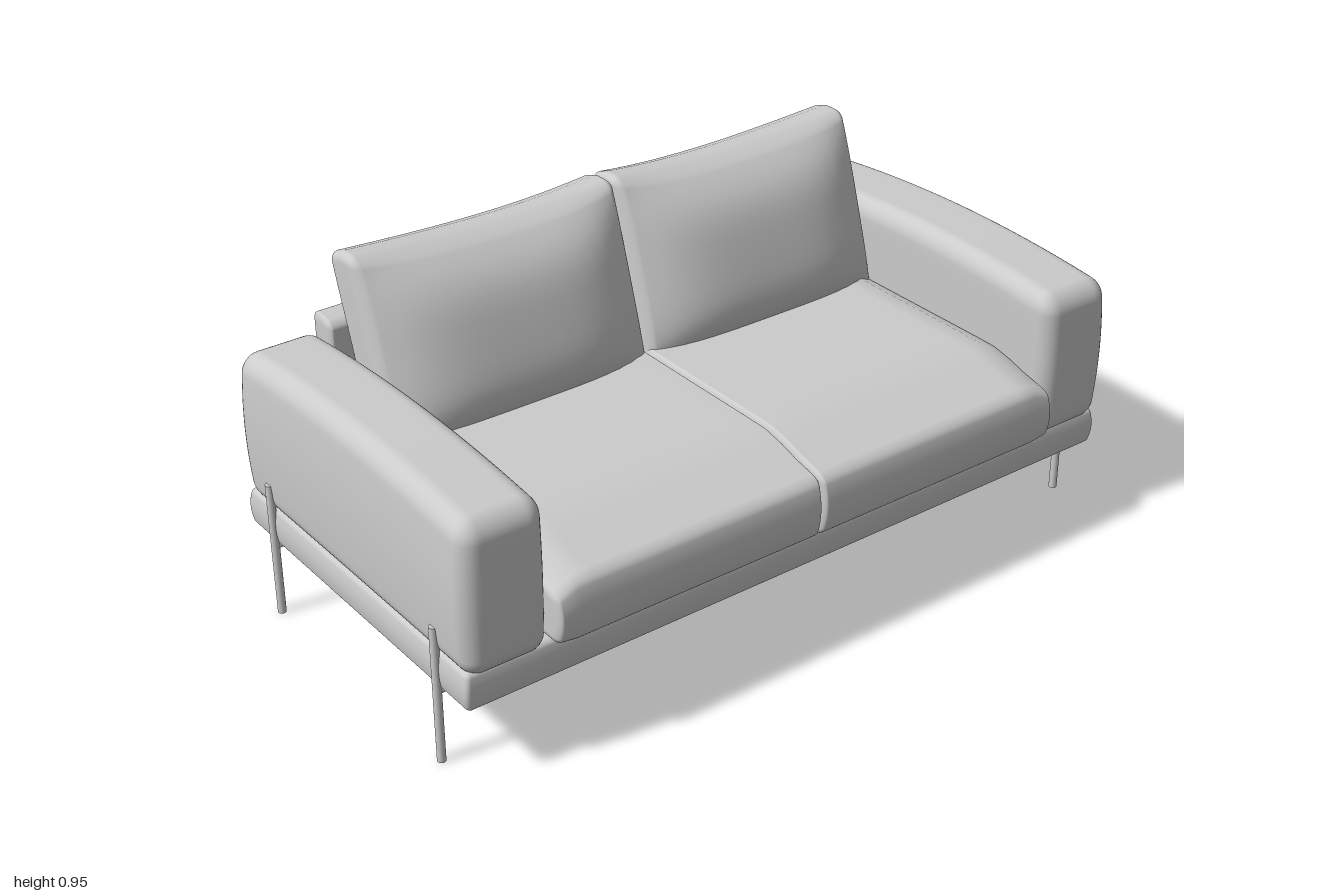
import * as THREE from 'three';
import { mergeVertices } from 'three/addons/utils/BufferGeometryUtils.js';

const material = new THREE.MeshStandardMaterial({ color: 0xcccccc, roughness: 0.8 });
const smooth = THREE.MathUtils.smoothstep;

// Subdivided box with rounded edges. min/max are corners, r the edge radius per axis;
// deform(p, u, v, w) then moves each point, u, v, w running from -1 to 1 across the box.
function softBox(name, min, max, r, deform) {
  const n = 24, k = 4;
  const geo = new THREE.BoxGeometry(2, 2, 2, n, n, n);
  geo.deleteAttribute('uv');
  geo.deleteAttribute('normal');
  const half = min.map((a, i) => (max[i] - a) / 2);
  const pos = geo.attributes.position;
  const p = new THREE.Vector3(), o = new THREE.Vector3();
  for (let i = 0; i < pos.count; i++) {
    for (let a = 0; a < 3; a++) {
      const c = pos.getComponent(i, a), inner = half[a] - r[a];
      const fromEnd = Math.round((1 - Math.abs(c)) / 2 * n);
      const inCorner = fromEnd < k;
      const s = Math.sign(c);
      o.setComponent(a, inCorner ? s * Math.tan((1 - fromEnd / k) * Math.PI / 4) : 0);
      p.setComponent(a, inCorner ? s * inner : c / (1 - 2 * k / n) * inner);
    }
    o.normalize();
    for (let a = 0; a < 3; a++) p.setComponent(a, p.getComponent(a) + o.getComponent(a) * r[a]);
    const [u, v, w] = half.map((h, a) => p.getComponent(a) / h);
    for (let a = 0; a < 3; a++) p.setComponent(a, p.getComponent(a) + (min[a] + max[a]) / 2);
    if (deform) deform(p, u, v, w);
    pos.setXYZ(i, p.x, p.y, p.z);
  }
  const merged = mergeVertices(geo, 1e-5);
  merged.computeVertexNormals();
  const mesh = new THREE.Mesh(merged, material);
  mesh.name = name;
  return mesh;
}

// Box spanning x0..x1 on one side of the sofa, mirrored by side s
function sideBox(name, s, x0, x1, y0, y1, z0, z1, r, deform) {
  const xs = [s * x0, s * x1].sort((a, b) => a - b);
  return softBox(name, [xs[0], y0, z0], [xs[1], y1, z1], r,
    (p, u, v, w) => deform(p, u * s, v, w));
}

function rod(name, radius, length, x, y, z) {
  const mesh = new THREE.Mesh(new THREE.CylinderGeometry(radius, radius, length, 20), material);
  mesh.name = name;
  mesh.position.set(x, y, z);
  return mesh;
}

export function createModel() {
  const sofa = new THREE.Group();
  sofa.name = 'sofa';

  // Upholstered plinth with slightly bulging sides
  sofa.add(softBox('base', [-0.98, 0.2, -0.522], [0.98, 0.305, 0.473], [0.012, 0.012, 0.012],
    (p, u, v, w) => {
      const b = 0.008 * (1 - v * v);
      p.x += b * u ** 5;
      p.z += b * w ** 5;
    }));

  // Backrest panel
  sofa.add(softBox('backrest', [-0.768, 0.29, -0.525], [0.768, 0.737, -0.437], [0.01, 0.022, 0.022],
    (p, u, v, w) => { if (w > 0) p.y -= 0.008 * smooth(v, 0.8, 1) * w; }));

  for (const s of [1, -1]) {
    const sideName = s > 0 ? 'left' : 'right';

    // Armrest with arched top and bowed faces
    sofa.add(sideBox(sideName + 'Armrest', s, 0.765, 0.982, 0.285, 0.69, -0.522, 0.49,
      [0.045, 0.05, 0.045], (p, u, v, w) => {
        const t = (v + 1) / 2;
        p.y += t * 0.03 * (1 - w * w);
        const bow = 0.012 * (1 - v * v);
        if (u > 0) p.x += s * bow * u;
        p.z += 0.7 * bow * w ** 5;
      }));

    // Seat cushion half: crowned top that falls to the front and outer edge
    sofa.add(sideBox(sideName + 'SeatCushion', s, 0.001, 0.768, 0.302, 0.52, -0.45, 0.515,
      [0.012, 0.03, 0.025], (p, u, v, w) => {
        const t = (v + 1) / 2;
        p.y -= t * (0.045 * smooth(w, 0.55, 1) + 0.025 * smooth(u, 0.85, 1));
        if (w > 0) p.z += 0.018 * (1 - v * v) * w ** 6;
        if (v < 0) p.y += 0.015 * smooth(u, 0.93, 1) * -v;
      }));

    // Leaning back cushion: plump front and rear, dipped top edge
    sofa.add(sideBox(sideName + 'BackCushion', s, 0.002, 0.764, 0.48, 0.953, -0.06, 0.06,
      [0.022, 0.025, 0.025], (p, u, v, w) => {
        const puff = Math.max(0, (1 - u ** 4) * (1 - v ** 4));
        p.z += (w > 0 ? 0.088 : 0.06) * w * puff;
        p.z += -0.235 - 0.31 * (p.y - 0.52);
        const t = smooth(v, -0.2, 1);
        p.y -= t * 0.018 * (1 - u * u) * (1 - 0.3 * u);
        p.y -= t * 0.022 * Math.max(0, -w);
      }));

    // Corner legs standing outside the base, each with a peg running underneath
    for (const [z, end] of [[0.355, 'Front'], [-0.4, 'Back']]) {
      sofa.add(rod(sideName + end + 'Leg', 0.011, 0.375, s * 0.989, 0.1875, z));
      const peg = rod(sideName + end + 'LegPeg', 0.008, 0.09, s * 0.942, 0.196, z);
      peg.rotation.z = Math.PI / 2;
      sofa.add(peg);
    }
  }

  // Central support leg
  sofa.add(rod('centreLeg', 0.011, 0.21, 0, 0.105, -0.035));
  return sofa;
}
